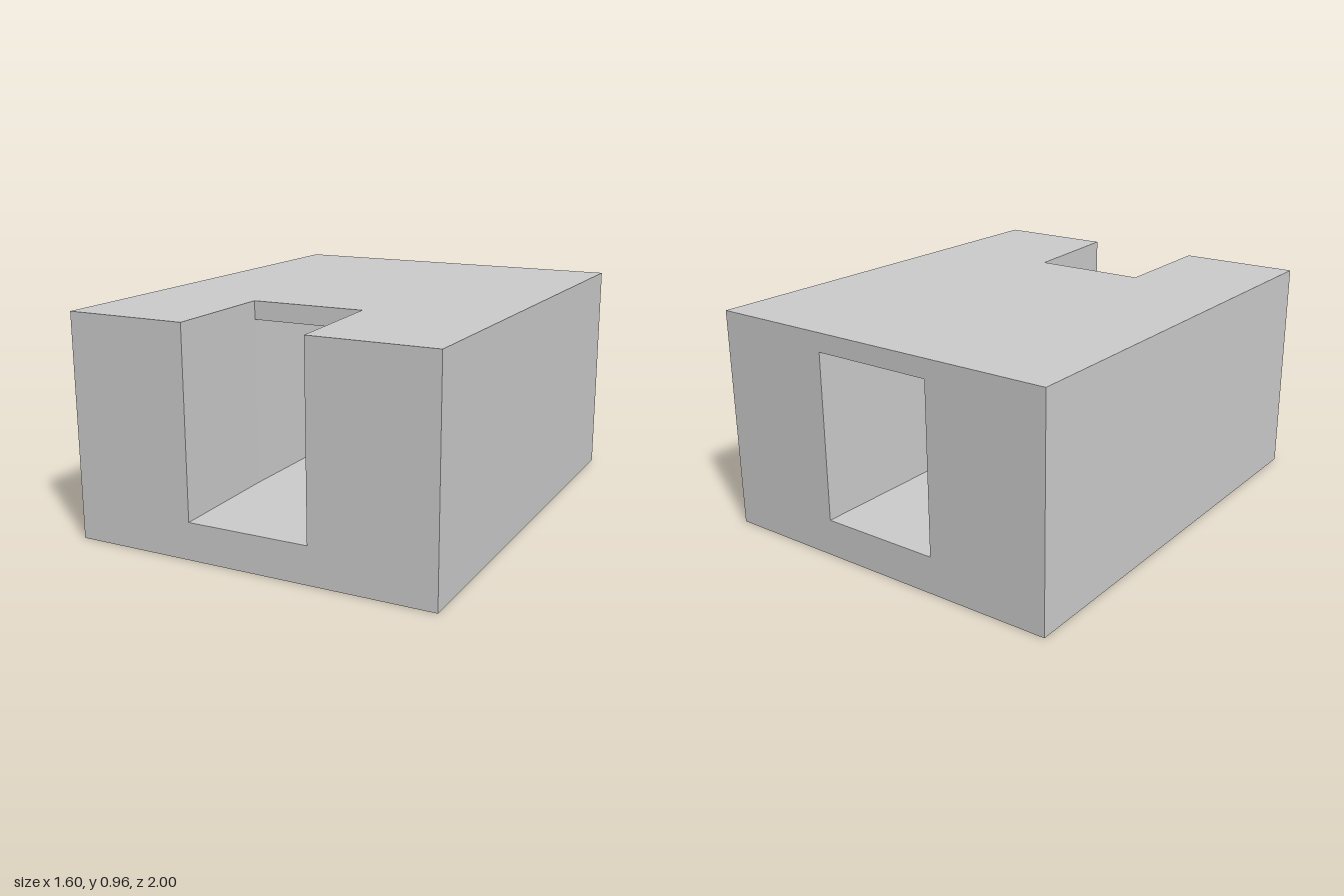
import * as THREE from 'three';

const W = 0.8, L = 1, H = 0.96;          // outer half width, half length, height
const FLOOR = 0.16, CEIL = 0.88;         // passage floor and ceiling
const O = 0.267, Z = 0.46;               // opening half width, start of the open notch
const NL = -0.28, NR = 0.225;            // notch corners at its inner end

const outline = pts => new THREE.Shape(pts.map(([a, b]) => new THREE.Vector2(a, b)));

export function createModel() {
  const group = new THREE.Group();
  const material = new THREE.MeshStandardMaterial({ color: 0xcccccc, flatShading: true });
  const add = (name, geometry) => {
    const mesh = new THREE.Mesh(geometry, material);
    mesh.name = name;
    group.add(mesh);
  };

  // horizontal face from [x, z] corners, facing up or down
  const flat = (name, pts, y, up) => {
    const s = up ? -1 : 1;
    const g = new THREE.ShapeGeometry(outline(pts.map(([x, z]) => [x, s * z])));
    add(name, g.rotateX(s * Math.PI / 2).translate(0, y, 0));
  };

  // upright face between two [x, z] points, given left to right as seen
  const wall = (name, [x0, z0], [x1, z1], y0, y1) => {
    const g = new THREE.PlaneGeometry(1, 1);
    const p = g.attributes.position;
    for (let i = 0; i < 4; i++) {
      const t = p.getX(i) + 0.5;
      p.setXYZ(i, x0 + (x1 - x0) * t, p.getY(i) > 0 ? y1 : y0, z0 + (z1 - z0) * t);
    }
    g.computeVertexNormals();
    add(name, g);
  };

  // outer block
  flat('bottom', [[-W, -L], [W, -L], [W, L], [-W, L]], 0, false);
  flat('roof', [[-W, -L], [W, -L], [W, L], [O, L], [NR, Z], [NL, Z], [-O, L], [-W, L]], H, true);
  wall('leftSide', [W, L], [W, -L], 0, H);
  wall('rightSide', [-W, -L], [-W, L], 0, H);

  // front with a slot open at the top
  add('front', new THREE.ShapeGeometry(outline([
    [-W, 0], [W, 0], [W, H], [O, H], [O, FLOOR], [-O, FLOOR], [-O, H], [-W, H],
  ])).translate(0, 0, L));

  // back with a closed doorway
  const back = outline([[-W, 0], [W, 0], [W, H], [-W, H]]);
  back.holes.push(outline([[-O, FLOOR], [-O, CEIL], [O, CEIL], [O, FLOOR]]));
  add('back', new THREE.ShapeGeometry(back).rotateY(Math.PI).translate(0, 0, -L));

  // passage running through the block
  flat('passageFloor', [[-O, -L], [O, -L], [O, Z], [NR, Z], [O, L], [-O, L], [NL, Z]], FLOOR, true);
  flat('passageCeiling', [[-O, -L], [O, -L], [O, Z], [NL, Z]], CEIL, false);
  wall('passageLeftWall', [O, -L], [O, Z], FLOOR, CEIL);
  wall('passageStep', [O, Z], [NR, Z], FLOOR, CEIL);
  wall('passageRightWall', [NL, Z], [-O, -L], FLOOR, CEIL);

  // notch walls and the lintel at its inner end
  wall('notchLeftWall', [NR, Z], [O, L], FLOOR, H);
  wall('notchRightWall', [-O, L], [NL, Z], FLOOR, H);
  wall('lintel', [NL, Z], [NR, Z], CEIL, H);

  return group;
}
